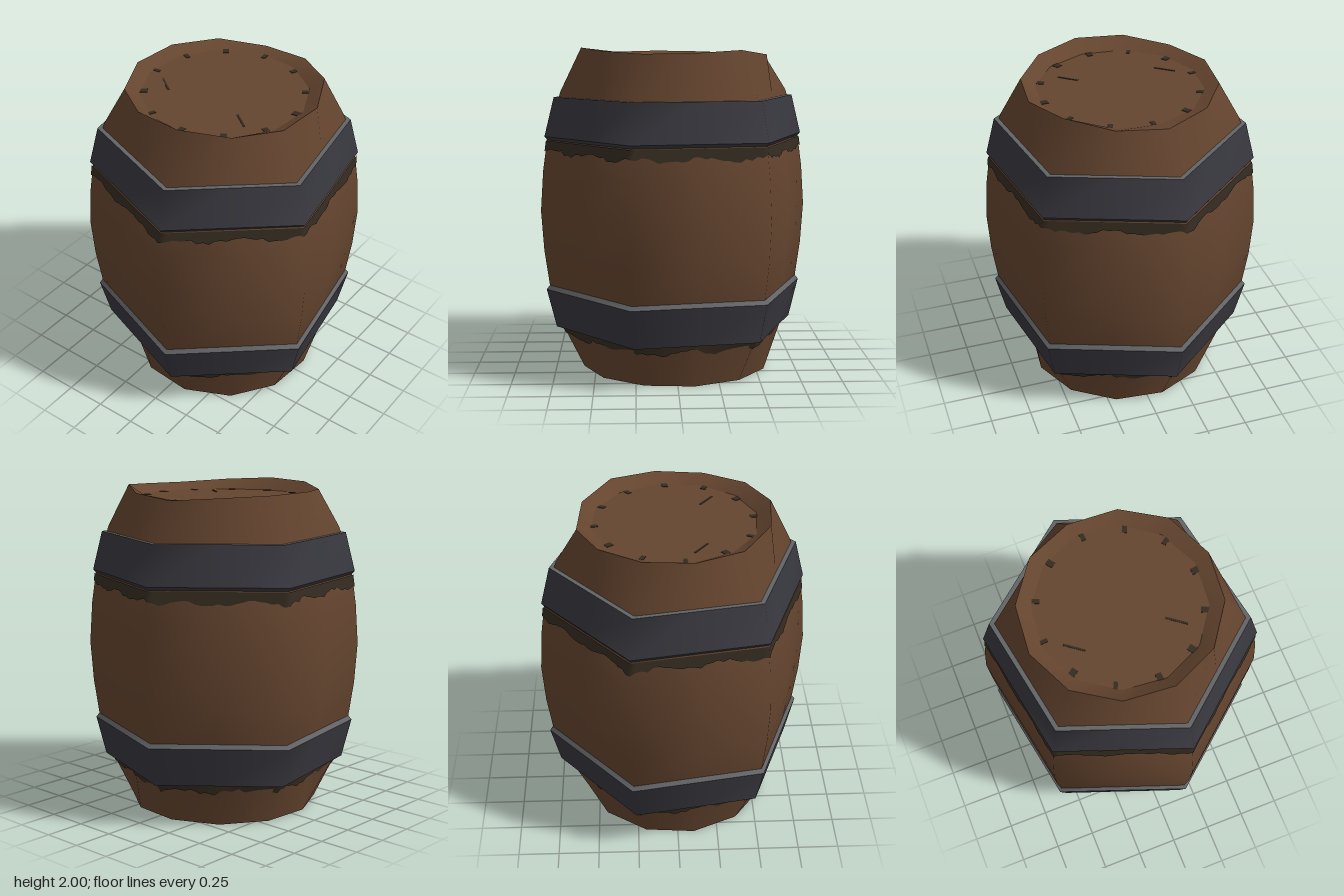
import * as THREE from 'three';

const SIDES = 12;
const START = THREE.MathUtils.degToRad(-10);
const wave = (i, s) => { const v = Math.sin(i * 12.9898 + s * 78.233) * 43758.5453; return v - Math.floor(v); };

// Point on a ring at radius r; angle counted in twelfths of a turn
const at = (k, r, y) => {
  const a = START + (k / SIDES) * Math.PI * 2;
  return new THREE.Vector3(Math.cos(a) * r, y, Math.sin(a) * r);
};
const ring = (r, y) => Array.from({ length: SIDES }, (_, k) => at(k, r, Array.isArray(y) ? y[k] : y));
// Hexagon with a point in the middle of each side
const hexRing = (r, y) => Array.from({ length: SIDES }, (_, k) =>
  at(k, k % 2 ? r * Math.cos(Math.PI / 6) : r, y));

// Skin between successive closed rings, smooth all over
function loft(rings) {
  const n = rings[0].length, pos = [], idx = [];
  rings.forEach(r => r.forEach(p => pos.push(p.x, p.y, p.z)));
  for (let j = 0; j < rings.length - 1; j++) {
    for (let i = 0; i < n; i++) {
      const a = j * n + i, b = j * n + (i + 1) % n;
      idx.push(a, a + n, b, b, a + n, b + n);
    }
  }
  const g = new THREE.BufferGeometry();
  g.setAttribute('position', new THREE.Float32BufferAttribute(pos, 3));
  g.setIndex(idx);
  g.computeVertexNormals();
  return g;
}

export function createModel() {
  const model = new THREE.Group();
  model.name = 'barrel';
  const material = (name, color) => {
    const m = new THREE.MeshStandardMaterial({ color });
    m.name = name;
    return m;
  };
  const wood = material('brown wood', 0x65452f);
  const iron = material('dark iron', 0x38383f);
  const edge = material('worn grey edge', 0x626366);
  const grime = material('dark grime', 0x352c20);
  const add = (name, geometry, mat, parent = model) => {
    const mesh = new THREE.Mesh(geometry, mat);
    mesh.name = name;
    parent.add(mesh);
    return mesh;
  };

  // Body: round ends swelling into a six-sided middle, with an uneven top
  const rimY = [1.935, 1.96, 1.99, 1.975, 1.97, 1.985, 2.0, 1.99, 1.965, 1.97, 1.965, 1.955];
  const half = [[0.265, 0.715], [0.52, 0.795], [0.75, 0.828]];
  const bodyRings = [
    ring(0.585, 0),
    ...half.map(([y, r]) => hexRing(r, y)),
    hexRing(0.845, 1),
    ...half.slice().reverse().map(([y, r]) => hexRing(r, 2 - y)),
    ring(0.585, rimY),
  ];
  add('body', loft(bodyRings), wood);

  // Ends: flat bottom and recessed lid inside a sloping rim
  const lidY = 1.925;
  add('bottom', loft([ring(0, 0), ring(0.585, 0)]), wood);
  add('rim', loft([ring(0.585, rimY), ring(0.5, lidY)]), wood);
  add('lid', loft([ring(0.5, lidY), ring(0, lidY)]), wood);

  // Hoops: each face is its own strip so that the edges stay sharp
  const hoop = (name, profile, greyStrip) => {
    const group = new THREE.Group();
    group.name = name;
    for (let i = 0; i < profile.length - 1; i++) {
      const grey = i === greyStrip;
      add(grey ? 'hoopTopEdge' : 'hoopFace',
        loft([profile[i], profile[i + 1]].map(([r, y]) => hexRing(r, y))), grey ? edge : iron, group);
    }
    model.add(group);
  };
  hoop('lowerHoop', [[0.69, 0.265], [0.757, 0.265], [0.817, 0.505], [0.793, 0.535]], 2);
  hoop('upperHoop', [[0.793, 1.43], [0.817, 1.46], [0.757, 1.7], [0.7, 1.7]], 2);

  // Point on the body surface, pushed out a little
  const onBody = (k, y) => {
    let j = 0;
    while (j < bodyRings.length - 2 && bodyRings[j + 1][0].y < y) j++;
    const k0 = Math.floor(k) % SIDES, k1 = (k0 + 1) % SIDES, f = k - Math.floor(k);
    const low = bodyRings[j][k0].clone().lerp(bodyRings[j][k1], f);
    const high = bodyRings[j + 1][k0].clone().lerp(bodyRings[j + 1][k1], f);
    const p = low.clone().lerp(high, (y - low.y) / (high.y - low.y));
    const s = 1 + 0.007 / Math.hypot(p.x, p.z);
    return p.set(p.x * s, p.y, p.z * s);
  };

  // Grime: ragged stain below each hoop
  [[0.264, 0.215], [1.435, 1.37]].forEach(([top, bottom], s) => {
    const n = 144, lower = [], upper = [];
    for (let i = 0; i < n; i++) {
      const k = (i / n) * SIDES;
      const rag = 0.013 * Math.sin(i * 0.55 + s) + 0.022 * (wave(i, s) - 0.5);
      lower.push(onBody(k, bottom + rag));
      upper.push(onBody(k, top));
    }
    add('hoopGrime', loft([lower, upper]), grime);
  });

  // Cracks: small notches where the rim meets the lid
  for (let k = 0; k < SIDES; k++) {
    const a = START + ((k + 0.15) / SIDES) * Math.PI * 2;
    const notch = add('rimCrack', new THREE.BoxGeometry(0.045, 0.004, 0.022 + 0.02 * wave(k, 3)), grime);
    notch.position.set(Math.cos(a) * 0.475, lidY + 0.001, Math.sin(a) * 0.475);
    notch.rotation.y = -a;
  }
  // Cracks along the planks of the lid and the bottom
  [[-0.14, -0.33, lidY], [-0.2, 0.26, lidY], [-0.3, 0.35, 0], [0.05, -0.4, 0], [0.25, 0.3, 0]].forEach(([x, z, y]) => {
    const crack = add('plankCrack', new THREE.BoxGeometry(0.012, 0.004, 0.13), grime);
    crack.position.set(x, y ? y + 0.001 : 0.0015, z);
    crack.rotation.y = -0.65;
  });

  return model;
}
